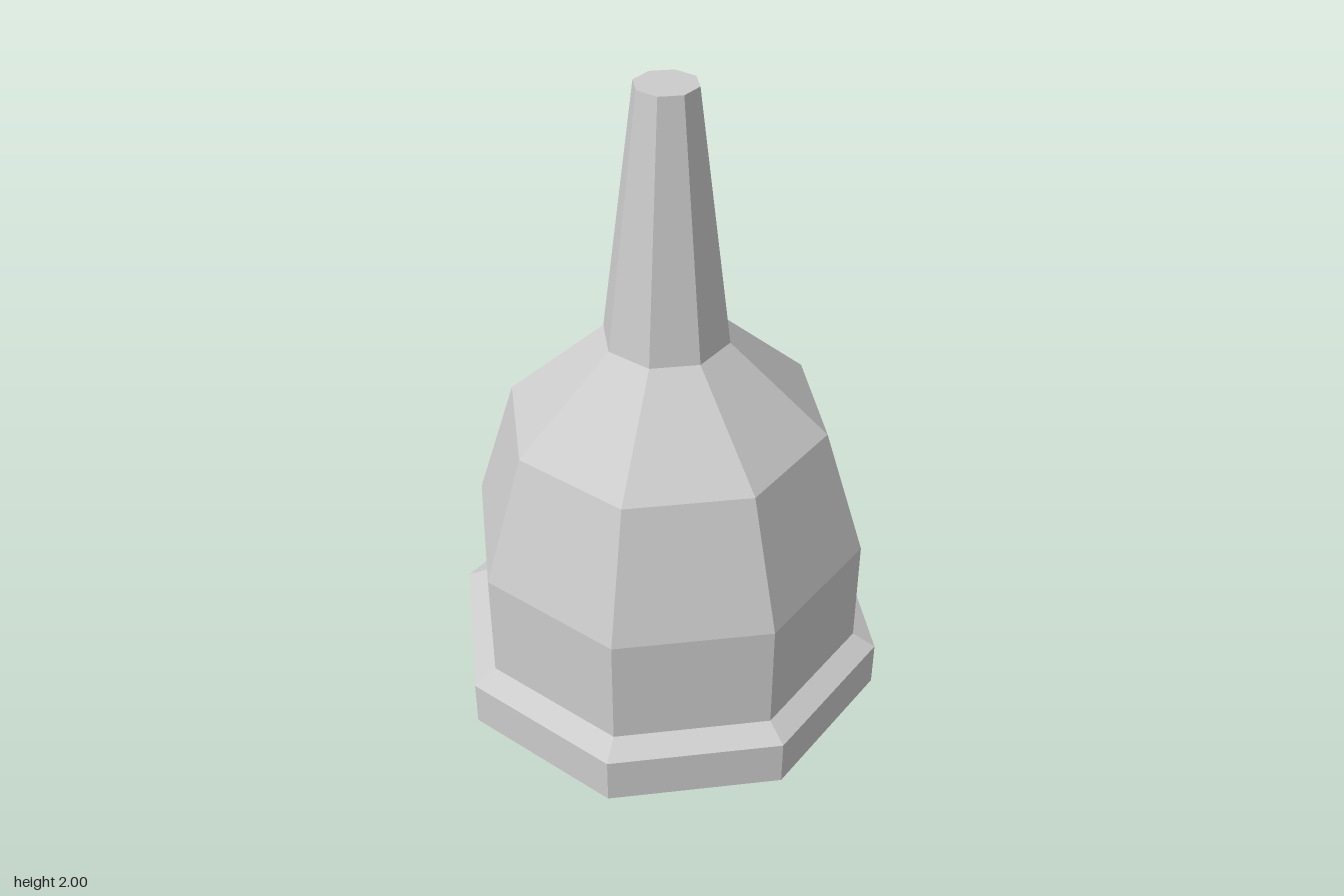
import * as THREE from 'three';

const SIDES = 8;

// Octagonal ring surface from [flat-to-centre distance, height] pairs, flats facing the axes
function octagonal(name, profile, material) {
  const toCorner = 1 / Math.cos(Math.PI / SIDES);
  const points = profile.map(([r, y]) => new THREE.Vector2(r * toCorner, y));
  const mesh = new THREE.Mesh(new THREE.LatheGeometry(points, SIDES, Math.PI / SIDES), material);
  mesh.name = name;
  return mesh;
}

export function createModel() {
  const group = new THREE.Group();
  group.name = 'nozzle';
  const material = new THREE.MeshStandardMaterial({
    color: 0xcccccc, flatShading: true, side: THREE.DoubleSide,
  });

  group.add(
    // Base flange: flat underside, upright rim and sloped top
    octagonal('baseFlange', [[0.465, 0], [0.637, 0], [0.637, 0.15], [0.57, 0.19]], material),
    // Body: straight skirt, tapered wall and shoulder
    octagonal('body', [[0.57, 0.19], [0.57, 0.545], [0.452, 0.953], [0.176, 1.225]], material),
    // Slim spout with a closed tip
    octagonal('spout', [[0.176, 1.225], [0.085, 2], [0, 2]], material),
    // Tapered hollow, open at the bottom
    octagonal('cavity', [[0, 1.2], [0.08, 1.2], [0.465, 0]], material),
  );
  return group;
}
